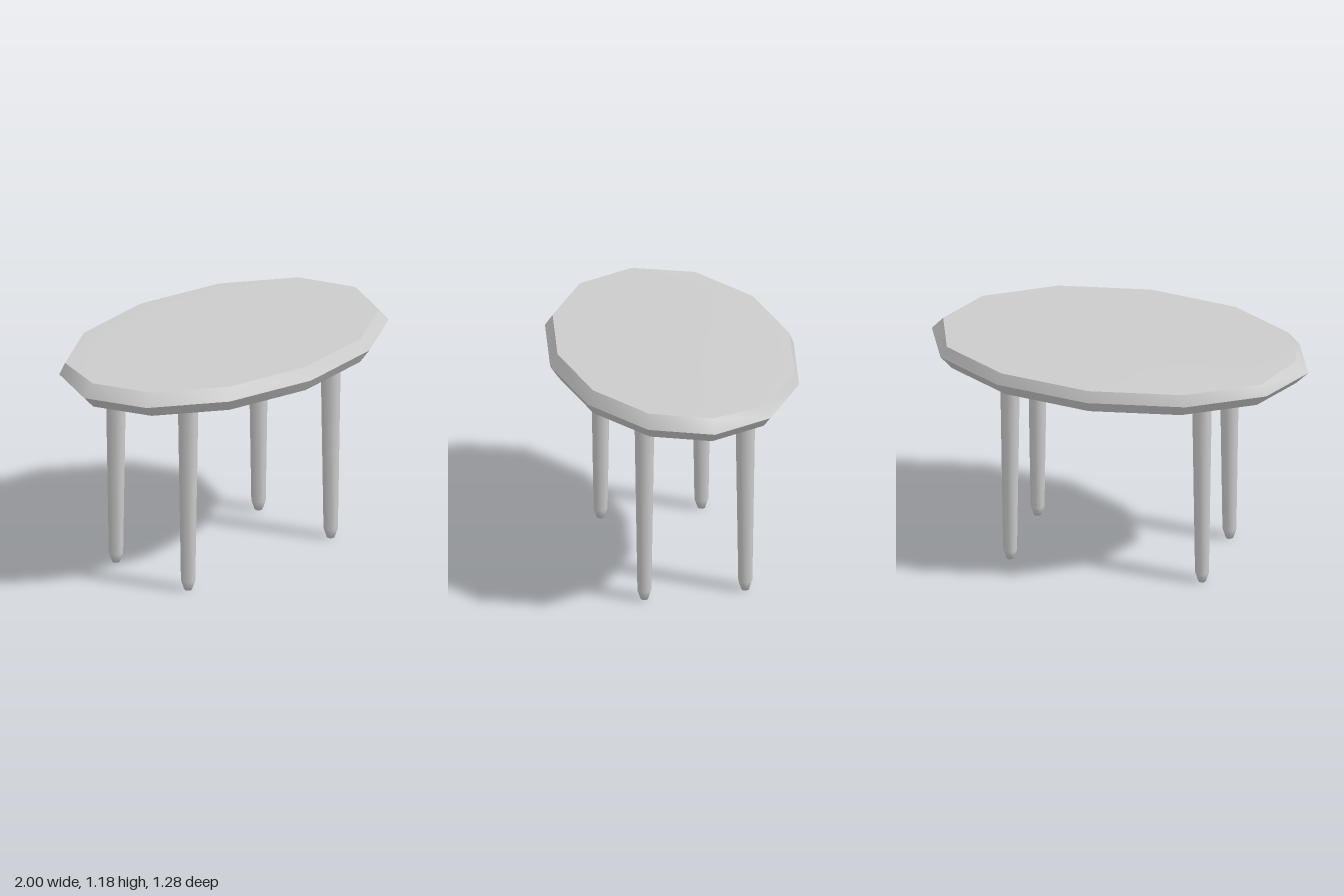
import * as THREE from 'three';

const SIDES = 12;

// One oval ring of the tabletop; the back half may sit at its own scale and height
function ring(scale, y, backScale = scale, backY = y) {
  const pts = [];
  for (let i = 0; i < SIDES; i++) {
    const a = (i / SIDES) * Math.PI * 2;
    const x = Math.cos(a), z = Math.sin(a);
    const back = z < -0.01;
    const s = back ? backScale : scale;
    pts.push([x * s, back ? backY : y, z * s * 0.64]);
  }
  return pts;
}

// Band of faces joining rings, smooth within the band and sharp at its borders
function band(...rings) {
  const index = [];
  for (let r = 0; r < rings.length - 1; r++) {
    for (let i = 0; i < SIDES; i++) {
      const j = (i + 1) % SIDES;
      const l0 = r * SIDES + i, l1 = r * SIDES + j;
      const u0 = l0 + SIDES, u1 = l1 + SIDES;
      index.push(l0, u0, u1, l0, u1, l1);
    }
  }
  const geo = new THREE.BufferGeometry();
  geo.setAttribute('position', new THREE.Float32BufferAttribute(rings.flat(2), 3));
  geo.setIndex(index);
  geo.computeVertexNormals();
  return geo;
}

export function createModel() {
  const group = new THREE.Group();
  const grey = new THREE.MeshStandardMaterial({ color: 0xcccccc });
  grey.name = 'plain grey';

  const add = (parent, name, geo) => {
    const mesh = new THREE.Mesh(geo, grey);
    mesh.name = name;
    parent.add(mesh);
    return mesh;
  };

  // Tabletop: twelve-sided oval slab with a bevelled rim
  const top = new THREE.Group();
  top.name = 'tabletop';
  group.add(top);
  const bottomEdge = ring(0.935, 1.055);
  const rim = ring(1, 1.12);
  const topEdge = ring(0.94, 1.185, 0.965, 1.178);
  add(top, 'underside', band(ring(0.001, 1.055), bottomEdge));
  add(top, 'lowerBevel', band(bottomEdge, rim));
  add(top, 'upperBevel', band(rim, topEdge));
  add(top, 'topSurface', band(topEdge, ring(0.8, 1.185), ring(0.001, 1.185)));

  // Legs: slim tapered posts with narrowed ends
  const profile = [[0, 0], [0.02, 0], [0.037, 0.05], [0.052, 1.0], [0.036, 1.056]]
    .map(([r, y]) => new THREE.Vector2(r, y));
  const legGeo = new THREE.LatheGeometry(profile, 8);
  for (const [side, x] of [['Left', 0.51], ['Right', -0.51]]) {
    for (const [end, z] of [['front', 0.26], ['back', -0.27]]) {
      add(group, `${end}${side}Leg`, legGeo).position.set(x, 0, z);
    }
  }
  return group;
}
